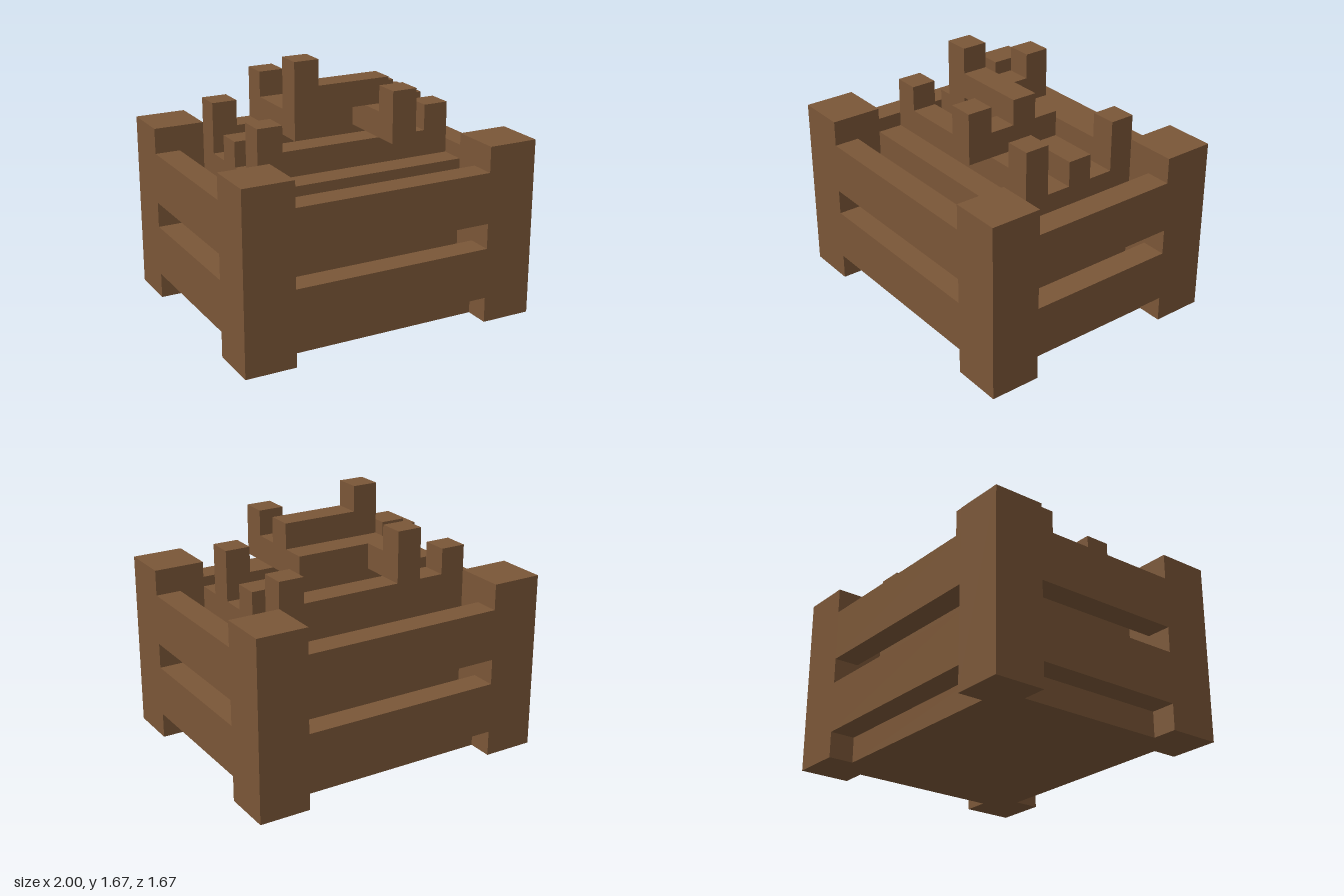
import * as THREE from 'three';

// Interlocking block puzzle in a cage, laid out on a grid of sixths
const U = 1 / 6;

export function createModel() {
  const model = new THREE.Group();
  model.name = 'burrPuzzle';
  const wood = new THREE.MeshStandardMaterial({ color: 0x7a5637 });
  wood.name = 'brownWood';

  // Box from grid ranges [min, max] on each axis
  const block = (name, [x0, x1], [y0, y1], [z0, z1]) => {
    const geo = new THREE.BoxGeometry((x1 - x0) * U, (y1 - y0) * U, (z1 - z0) * U);
    const mesh = new THREE.Mesh(geo, wood);
    mesh.position.set((x0 + x1) * U / 2, (y0 + y1) * U / 2, (z0 + z1) * U / 2);
    mesh.name = name;
    model.add(mesh);
  };
  // Range a..b mirrored when the side is negative
  const side = (s, a, b) => (s > 0 ? [a, b] : [-b, -a]);

  // Cage: corner posts, and slats with a slot between them
  for (const s of [-1, 1]) {
    for (const t of [-1, 1]) block('cornerPost', side(s, 4, 6), [0, 7], side(t, 3, 5));
    for (const y of [[1, 3], [4, 6]]) {
      block(s > 0 ? 'frontSlat' : 'backSlat', [-4, 4], y, side(s, 4, 5));
      block(s > 0 ? 'leftSlat' : 'rightSlat', side(s, 5, 6), y, [-3, 3]);
    }
  }
  // Base plate, recessed under the slats
  block('basePlateLong', [-4, 4], [0, 1], [-4, 4]);
  for (const s of [-1, 1]) block('basePlateEnd', side(s, 4, 5), [0, 1], [-3, 3]);

  // Core, standing clear of the slats
  block('core', [-4, 4], [1, 6], [-3, 3]);

  // Three ridges across the core, two with end knobs
  for (const z of [-3, -1, 1]) {
    block('ridge', [-4, 4], [6, 7], [z, z + 1]);
    if (z === -1) continue;
    for (const s of [-1, 1]) block('ridgeKnob', side(s, 3, 4), [7, 8], [z, z + 1]);
  }

  // Rear angled piece with its upright
  block('rearCrossbar', [-2, 2], [7, 8], [-1, 0]);
  block('rearArm', [-2, -1], [7, 8], [-3, -1]);
  block('rearUpright', [-2, -1], [8, 9], [-3, -2]);

  // Front bridging piece with its tower and upright
  block('tower', [-2, -1], [7, 10], [0, 1]);
  block('bridge', [-1, 2], [8, 9], [0, 1]);
  block('frontArm', [1, 2], [7, 8], [0, 3]);
  block('frontUpright', [1, 2], [8, 9], [2, 3]);

  return model;
}
